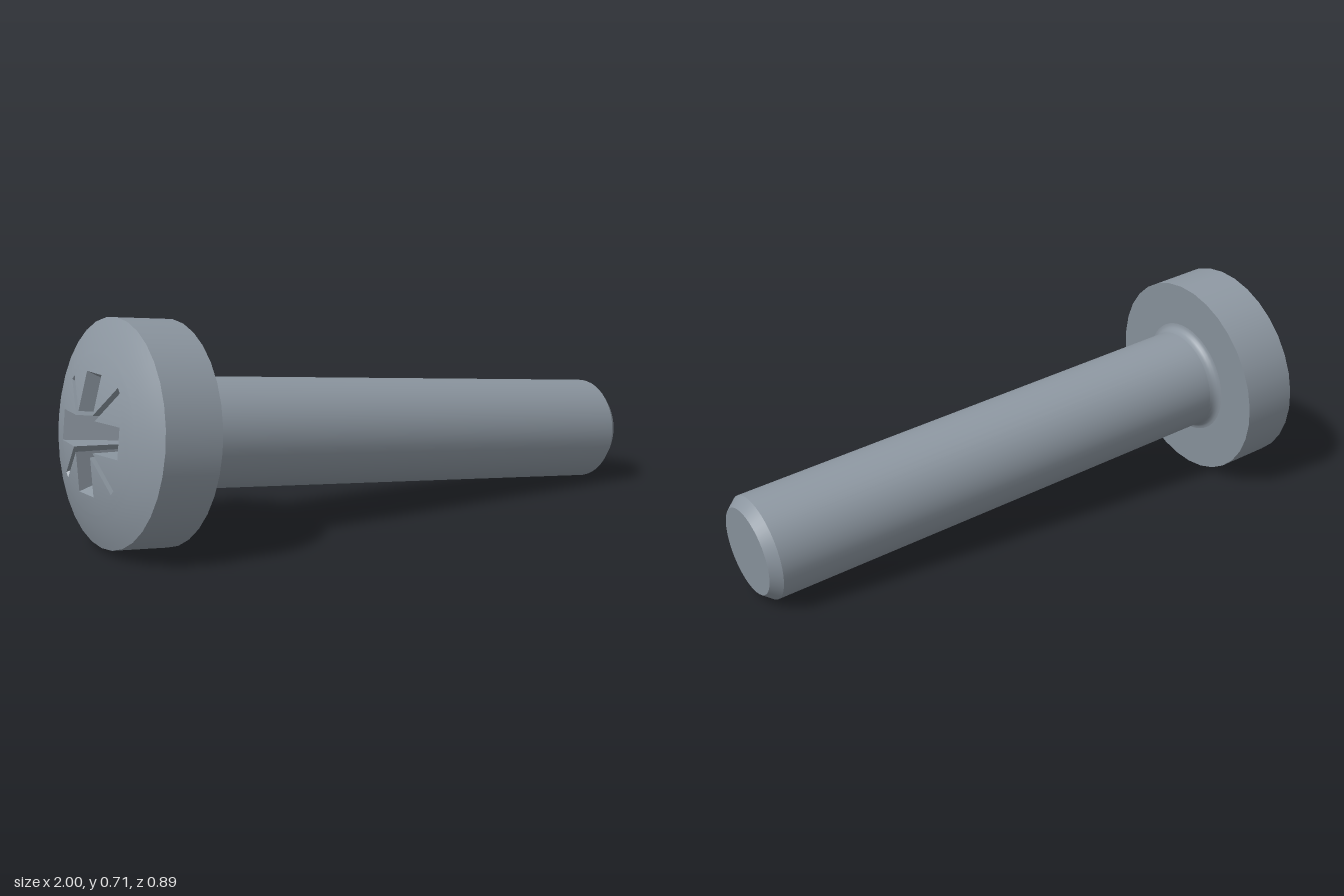
import * as THREE from 'three';

const SEG = 32;
const HEAD_R = 0.345, SHANK_R = 0.172, SIDE = 0.185, DOME = 0.085, RING_R = 0.24;
const SPHERE_R = (HEAD_R ** 2 + DOME ** 2) / (2 * DOME);
const FLOOR_Y = 0.08;

// height of the domed head top at distance r from the axis
const domeY = (r) => SIDE + DOME - SPHERE_R + Math.sqrt(SPHERE_R ** 2 - r * r);

// four wings with a thin diagonal slit between each pair, counterclockwise
function recessOutline(len, w, slitR, t) {
  const k = Math.SQRT1_2;
  const inner = w + 2 * t * k;
  const a = k * (slitR + t), b = k * (slitR - t);
  const quarter = [[len, -w], [len, w], [inner, w], [a, b], [b, a], [w, inner]];
  const pts = [];
  for (let q = 0; q < 4; q++) {
    for (const [x, y] of quarter) {
      pts.push(new THREE.Vector2(x, y).rotateAround(new THREE.Vector2(), q * Math.PI / 2));
    }
  }
  return pts;
}

export function createModel() {
  const steel = new THREE.MeshStandardMaterial({ color: 0x8c96a0 });
  steel.name = 'steel grey';

  const screw = new THREE.Group();
  screw.name = 'screw';
  const add = (name, geometry) => {
    const mesh = new THREE.Mesh(geometry, steel);
    mesh.name = name;
    screw.add(mesh);
  };
  const turned = (name, profile, seg = SEG) =>
    add(name, new THREE.LatheGeometry(profile.map(([r, y]) => new THREE.Vector2(r, y)), seg));

  // shank, one lathe per crisp band
  turned('tipFace', [[0, -1.73], [0.144, -1.73]], 48);
  turned('tipChamfer', [[0.144, -1.73], [SHANK_R, -1.696]], 48);
  turned('shank', [[SHANK_R, -1.696], [SHANK_R, -0.03]], 48);
  const fillet = [];
  for (let i = 0; i <= 5; i++) {
    const a = (i / 5) * Math.PI / 2;
    fillet.push([SHANK_R + 0.025 * (1 - Math.cos(a)), -0.03 + 0.03 * Math.sin(a)]);
  }
  turned('neckFillet', fillet, 48);

  // head
  turned('headUnderside', [[0.19, 0], [HEAD_R, 0]]);
  turned('headSide', [[HEAD_R, 0], [HEAD_R, SIDE]]);
  const ring = [];
  for (let i = 0; i <= 5; i++) {
    const r = HEAD_R + (RING_R - HEAD_R) * i / 5;
    ring.push([r, domeY(r)]);
  }
  turned('headDome', ring);

  // dome centre pierced by the driver recess
  const rim = recessOutline(0.18, 0.047, 0.21, 0.01);
  const foot = recessOutline(0.11, 0.04, 0.09, 0.008);
  const disc = new THREE.Shape(Array.from({ length: SEG }, (_, i) => {
    const a = i * 2 * Math.PI / SEG;
    return new THREE.Vector2(RING_R * Math.cos(a), RING_R * Math.sin(a));
  }));
  disc.holes.push(new THREE.Path(rim.slice().reverse()));
  const cap = new THREE.ShapeGeometry(disc).rotateX(-Math.PI / 2);
  const p = cap.attributes.position, n = cap.attributes.normal;
  const v = new THREE.Vector3();
  for (let i = 0; i < p.count; i++) {
    p.setY(i, domeY(Math.hypot(p.getX(i), p.getZ(i))));
    v.fromBufferAttribute(p, i);
    v.y -= SIDE + DOME - SPHERE_R;
    v.normalize();
    n.setXYZ(i, v.x, v.y, v.z);
  }
  add('domeCentre', cap);

  // tapered recess walls and floor
  const top = rim.map((q) => [q.x, domeY(q.length()), -q.y]);
  const low = foot.map((q) => [q.x, FLOOR_Y, -q.y]);
  const corners = [];
  for (let i = 0; i < top.length; i++) {
    const j = (i + 1) % top.length;
    corners.push(...top[i], ...top[j], ...low[i], ...top[j], ...low[j], ...low[i]);
  }
  const walls = new THREE.BufferGeometry();
  walls.setAttribute('position', new THREE.Float32BufferAttribute(corners, 3));
  walls.computeVertexNormals();
  add('recessWalls', walls);
  add('recessFloor', new THREE.ShapeGeometry(new THREE.Shape(foot))
    .rotateX(-Math.PI / 2).translate(0, FLOOR_Y, 0));

  // lay the screw down, tip resting on the ground
  const yAxis = new THREE.Vector3(-0.974, 0.1, -0.2045).normalize();
  const xAxis = new THREE.Vector3(0, 1, 0).addScaledVector(yAxis, -yAxis.y).normalize();
  const zAxis = new THREE.Vector3().crossVectors(xAxis, yAxis);
  screw.quaternion.setFromRotationMatrix(new THREE.Matrix4().makeBasis(xAxis, yAxis, zAxis));
  screw.position.set(-0.718, 0.344, -0.068);

  const model = new THREE.Group();
  model.name = 'machineScrew';
  model.add(screw);
  return model;
}
